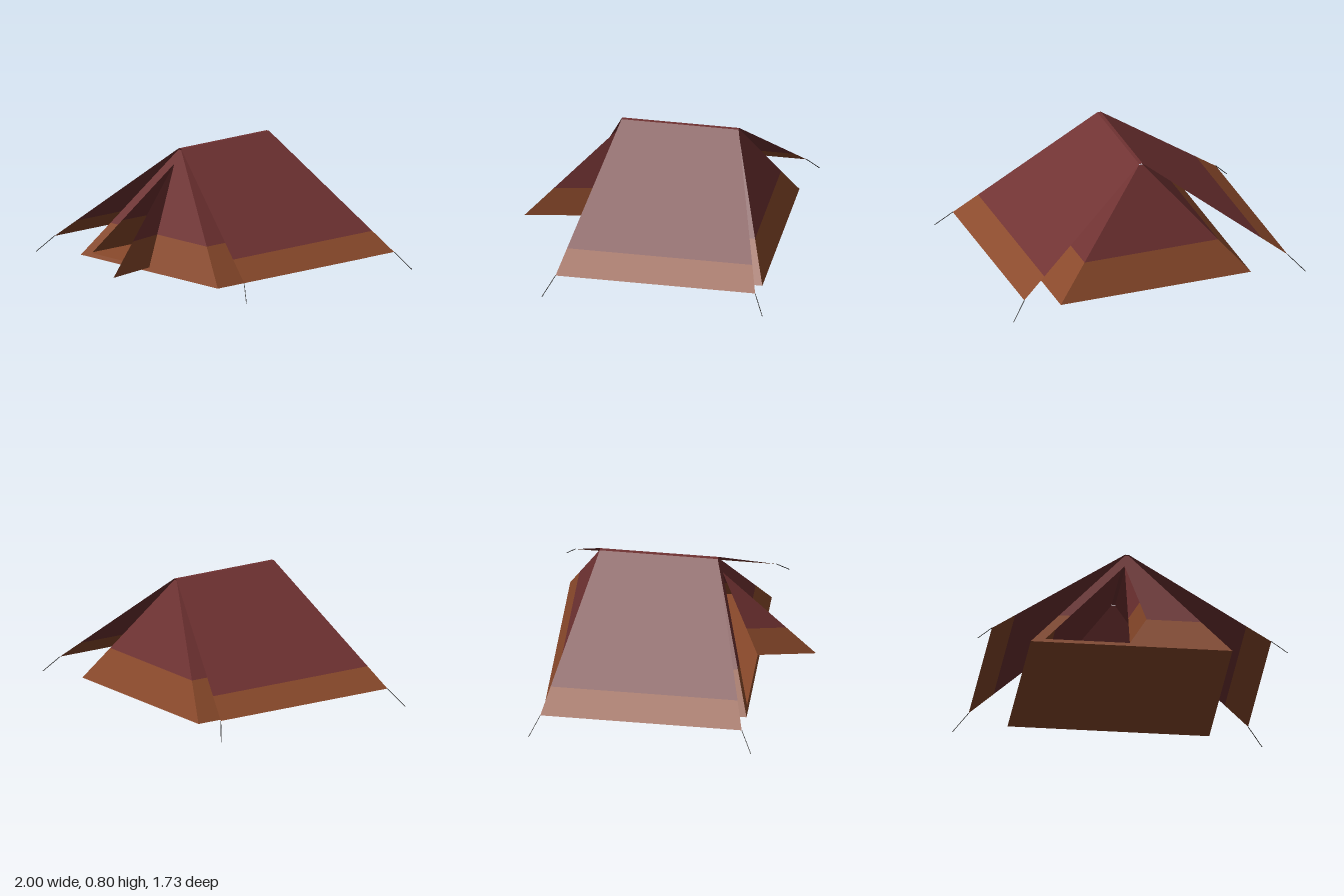
import * as THREE from 'three';

const RED = 0x703232, BROWN = 0x8b4a2b;
const material = (color) => new THREE.MeshStandardMaterial({ color, side: THREE.DoubleSide, flatShading: true });
const redCloth = material(RED), brownCloth = material(BROWN), cord = material(0x2b2b2b);
const V = (x, y, z) => new THREE.Vector3(x, y, z);

// Flat four-sided piece of cloth, corners counter-clockwise from outside
function quad(name, mat, a, b, c, d) {
  const g = new THREE.BufferGeometry().setFromPoints([a, b, c, a, c, d]);
  g.computeVertexNormals();
  const mesh = new THREE.Mesh(g, mat);
  mesh.name = name;
  return mesh;
}

// Panel from bottom edge a-b to top edge d-c, brown below the split height and red above
function panel(name, a, b, c, d, split) {
  const group = new THREE.Group();
  group.name = name;
  const at = (p, q) => p.clone().lerp(q, (split - p.y) / (q.y - p.y));
  if (split <= a.y) group.add(quad(name + 'Red', redCloth, a, b, c, d));
  else if (split >= d.y) group.add(quad(name + 'Brown', brownCloth, a, b, c, d));
  else {
    const l = at(a, d), r = at(b, c);
    group.add(quad(name + 'Brown', brownCloth, a, b, r, l), quad(name + 'Red', redCloth, l, r, c, d));
  }
  return group;
}

export function createModel() {
  const tent = new THREE.Group();
  tent.name = 'tent';

  // Inner tent dimensions
  const base = 0.03, top = 0.79, band = 0.26;
  const half = (y) => THREE.MathUtils.mapLinear(y, base, top, 0.65, 0.012);
  const front = (x, y) => V(x, y, THREE.MathUtils.mapLinear(y, base, top, 0.5, 0.235));
  const back = (x, y) => V(x, y, THREE.MathUtils.mapLinear(y, base, top, -0.8, -0.525));
  const inner = new THREE.Group();
  inner.name = 'innerTent';
  tent.add(inner);

  // Groundsheet, back wall and side walls
  inner.add(
    quad('groundsheet', brownCloth, back(-0.65, base), back(0.65, base), front(0.65, base), front(-0.65, base)),
    panel('backWall', back(0.65, base), back(-0.65, base), back(-half(top), top), back(half(top), top), band),
    panel('leftWall', front(0.65, base), back(0.65, base), back(half(top), top), front(half(top), top), band),
    panel('rightWall', back(-0.65, base), front(-0.65, base), front(-half(top), top), back(-half(top), top), band),
  );

  // Front wall pieces around the triangular doorway
  const sill = 0.055, peak = 0.7;
  const hingeLow = front(-0.01, sill), hingeHigh = front(-0.018, peak), doorCorner = front(-0.555, sill);
  const edge = (side, y) => front(side * half(y), y);
  inner.add(
    panel('doorSill', edge(-1, base), edge(1, base), edge(1, sill), edge(-1, sill), band),
    panel('frontWallRight', edge(-1, sill), doorCorner, hingeHigh, edge(-1, peak), band),
    panel('frontWallLeft', hingeLow, edge(1, sill), edge(1, peak), hingeHigh, band),
    panel('frontWallTop', edge(-1, peak), edge(1, peak), edge(1, top), edge(-1, top), band),
  );

  // Door flap swung open towards the front
  tent.add(panel('doorFlap', hingeLow, V(0.055, sill, 0.86), hingeHigh, hingeHigh, band));

  // Flysheet: two wide slopes joined by a narrow ridge
  const ridge = 0.797, eave = 0.11, rx = 0.012;
  const fly = new THREE.Group();
  fly.name = 'flysheet';
  tent.add(fly);
  fly.add(
    panel('leftSlope', V(0.9, eave, 0.5), V(0.9, eave, -0.8), V(rx, ridge, -0.527), V(rx, ridge, 0.235), 0.23),
    panel('rightSlope', V(-0.9, eave, -0.8), V(-0.9, eave, 0.5), V(-rx, ridge, 0.235), V(-rx, ridge, -0.527), 0.23),
    quad('ridge', redCloth, V(-rx, ridge, 0.235), V(rx, ridge, 0.235), V(rx, ridge, -0.527), V(-rx, ridge, -0.527)),
  );

  // Guy lines from the flysheet corners to the ground
  for (const side of [-1, 1]) {
    for (const [z, groundZ] of [[0.5, 0.57], [-0.8, -0.865]]) {
      const path = new THREE.LineCurve3(V(side * 0.9, eave, z), V(side * 0.998, 0.002, groundZ));
      const line = new THREE.Mesh(new THREE.TubeGeometry(path, 1, 0.0025, 5), cord);
      line.name = 'guyLine';
      tent.add(line);
    }
  }
  return tent;
}
